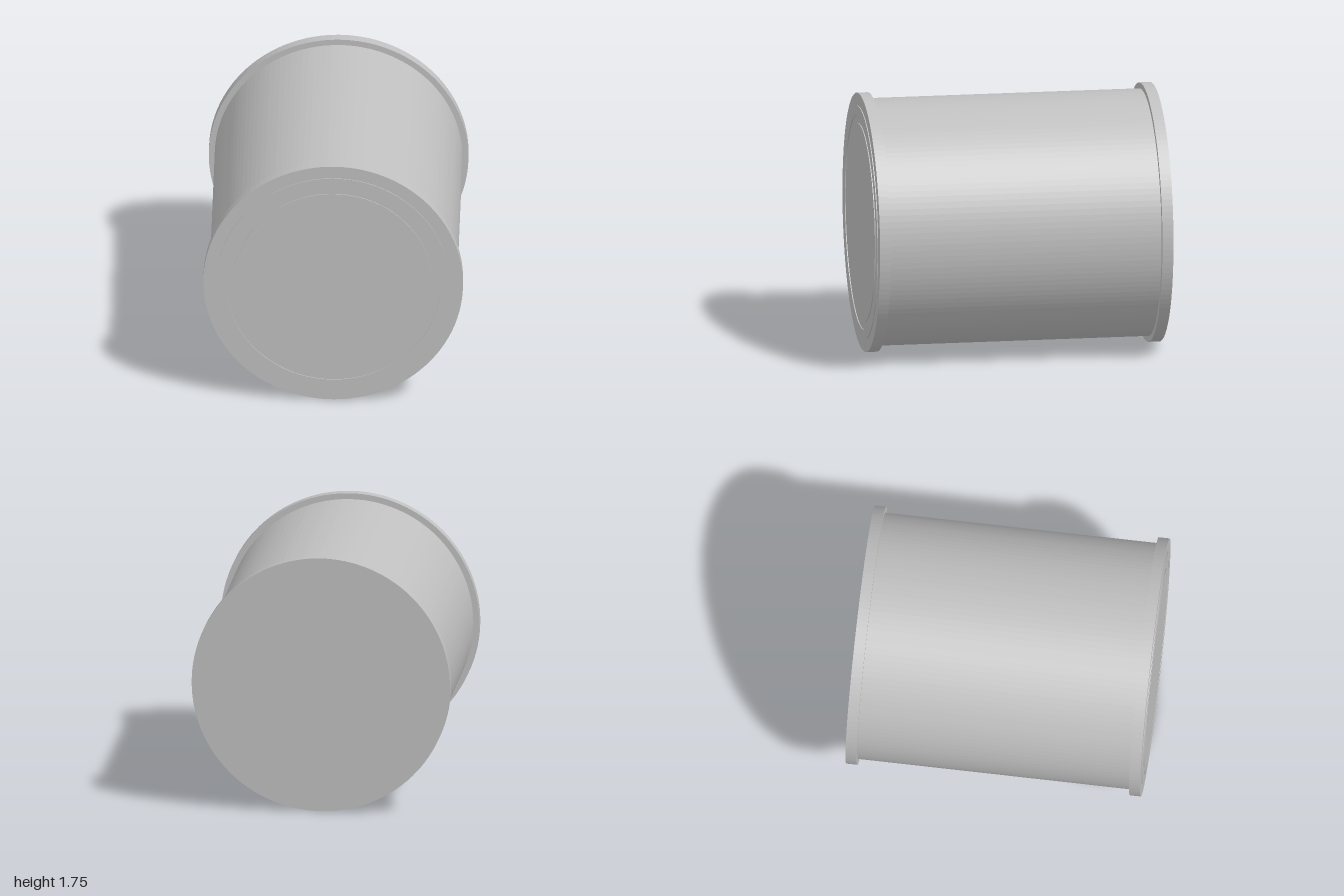
import * as THREE from 'three';

const SEGMENTS = 128;
const RIM = 0.873;
const BODY = 0.833;

export function createModel() {
  const metal = new THREE.MeshStandardMaterial({ color: 0xc0c0c0, flatShading: true });
  metal.name = 'silver metal';

  const can = new THREE.Group();
  can.name = 'can';

  // Revolves a [radius, z] outline, listed from back to front, around the z axis
  function turned(name, outline) {
    const points = outline.map(([r, z]) => new THREE.Vector2(r, z));
    const geometry = new THREE.LatheGeometry(points, SEGMENTS).rotateX(Math.PI / 2);
    const mesh = new THREE.Mesh(geometry, metal);
    mesh.name = name;
    can.add(mesh);
  }

  // Cylindrical wall between the two end caps
  turned('body', [[BODY, -0.925], [BODY, 0.92]]);

  // Plain back end cap
  turned('backCap', [[0, -1], [RIM, -1], [RIM, -0.925], [BODY, -0.925]]);

  // Front end cap with a shallow raised ring and a raised centre panel
  turned('frontCap', [
    [BODY, 0.92], [RIM, 0.92], [RIM, 0.994],
    [0.786, 0.994], [0.786, 1],
    [0.722, 1], [0.722, 0.994],
    [0.67, 0.994], [0.67, 1],
    [0, 1],
  ]);

  can.position.y = RIM;
  const model = new THREE.Group();
  model.name = 'canModel';
  model.add(can);
  return model;
}
